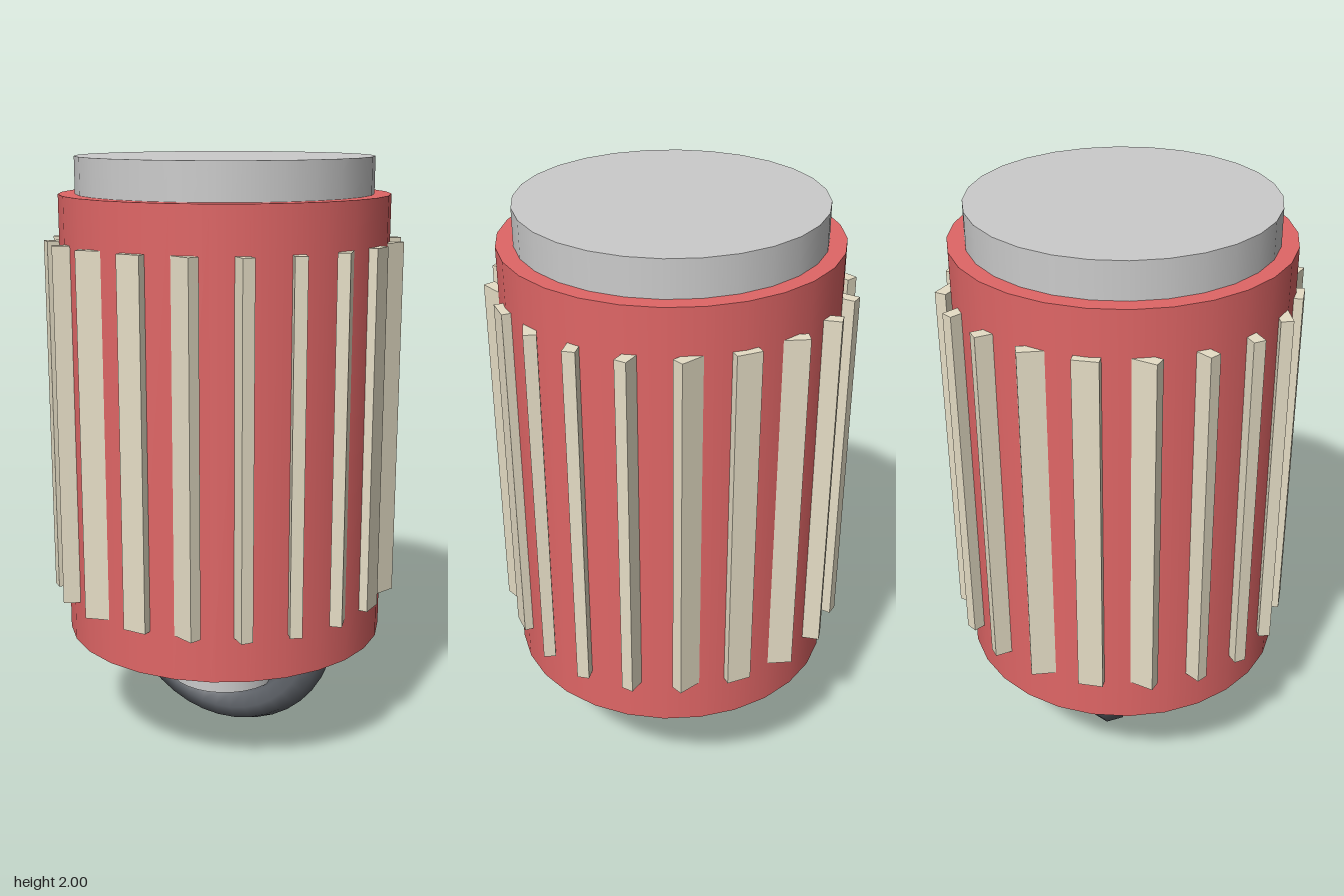
import * as THREE from 'three';

const paint = (color) => new THREE.MeshStandardMaterial({ color });

export function createModel() {
  const model = new THREE.Group();
  const grey = paint(0xcccccc);
  const red = paint(0xe06666);
  const cream = paint(0xe6dec6);
  const dark = paint(0x5c6066);

  function add(name, geometry, material, x, y, z, parent = model) {
    const mesh = new THREE.Mesh(geometry, material);
    mesh.name = name;
    mesh.position.set(x, y, z);
    parent.add(mesh);
    return mesh;
  }

  // Upright cylinder between two heights
  const drum = (name, radius, bottom, top, material) =>
    add(name, new THREE.CylinderGeometry(radius, radius, top - bottom, 28),
      material, 0, (bottom + top) / 2, 0);

  drum('body', 0.545, 0.385, 1.88, red);
  drum('topCap', 0.49, 1.8, 2, grey);
  drum('bottomStem', 0.19, 0.18, 0.42, grey);

  // Half ring hanging below the body
  const loop = add('loopHandle', new THREE.TorusGeometry(0.375, 0.063, 8, 20, Math.PI),
    dark, 0, 0.443, 0);
  loop.rotation.z = Math.PI;

  // Grip ribs, turned against the direction they travel round the body
  const ribs = new THREE.Group();
  ribs.name = 'gripRibs';
  model.add(ribs);
  const ribGeometry = new THREE.BoxGeometry(0.082, 1.195, 0.04);
  const count = 20;
  for (let i = 0; i < count; i++) {
    const a = (i / count) * Math.PI * 2;
    const rib = add('gripRib', ribGeometry, cream,
      0.55 * Math.sin(a), 1.1325, 0.55 * Math.cos(a), ribs);
    rib.rotation.y = -a;
  }

  return model;
}
